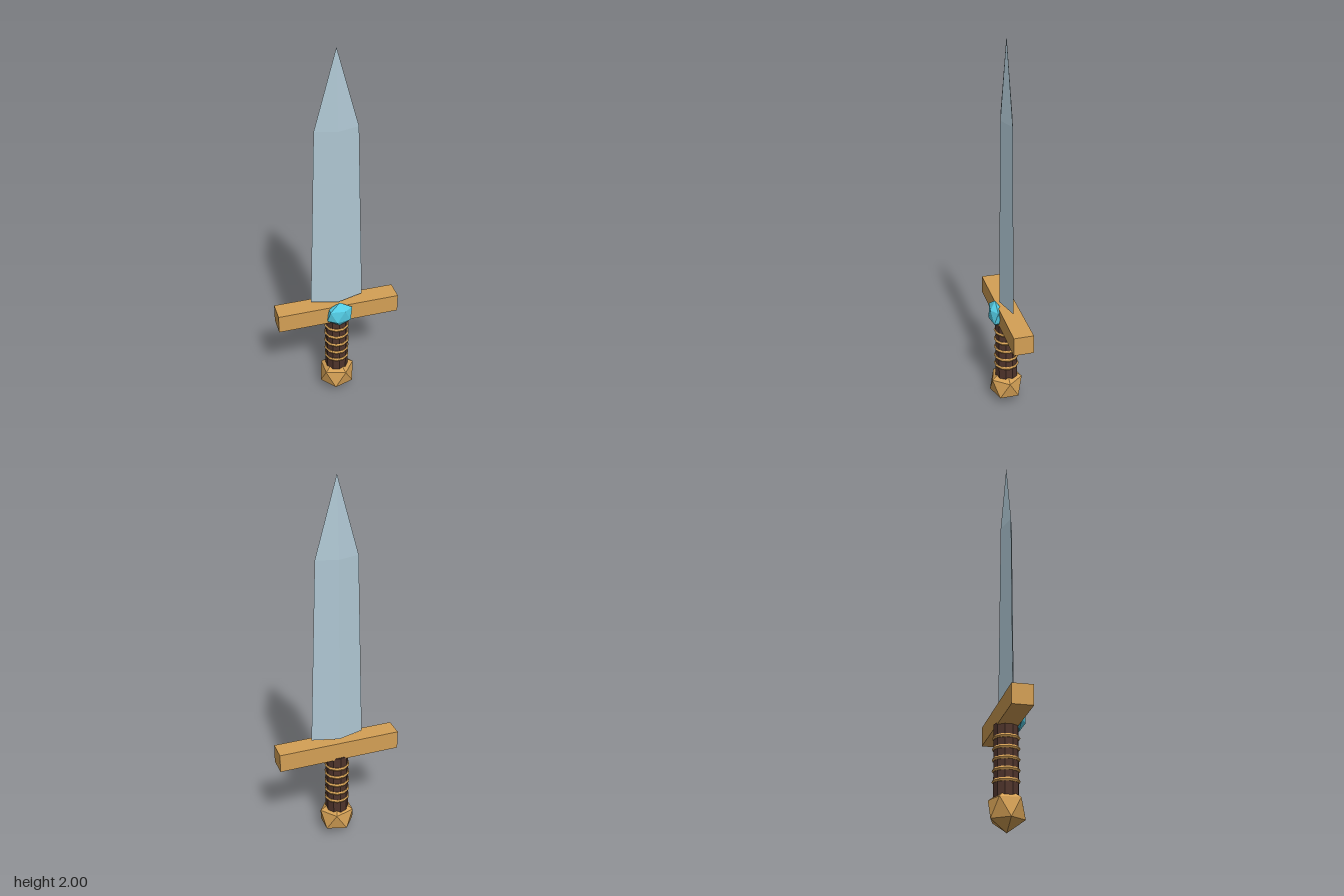
import * as THREE from 'three';

const material = (color) => new THREE.MeshStandardMaterial({ color, flatShading: true });

export function createModel() {
  const dagger = new THREE.Group();
  dagger.name = 'dagger';
  const gold = material(0xd4a055);
  const steel = material(0xb0c8d4);
  const wood = material(0x50352c);
  const crystal = material(0x55cfe8);
  const axisZ = -0.006;

  const add = (name, geometry, mat, y, z = axisZ) => {
    const mesh = new THREE.Mesh(geometry, mat);
    mesh.name = name;
    mesh.position.set(0, y, z);
    dagger.add(mesh);
    return mesh;
  };

  // Icosahedron standing on one of its vertices
  const facetedBall = (radius) =>
    new THREE.IcosahedronGeometry(radius, 0).rotateZ(-Math.atan(2 / (1 + Math.sqrt(5))));

  // Diamond-section blade, tapering to a point
  const profile = [[0, 0], [0.14, 0], [0.11, 0.985], [0, 1.38]]
    .map(([x, y]) => new THREE.Vector2(x, y));
  add('blade', new THREE.LatheGeometry(profile, 4).scale(1, 1, 0.275), steel, 0.62);

  // Crossguard
  add('crossguard', new THREE.BoxGeometry(0.654, 0.1, 0.103), gold, 0.55);

  // Grip with its binding rings
  add('grip', new THREE.CylinderGeometry(0.061, 0.061, 0.36, 10), wood, 0.33);
  for (let i = 0; i < 5; i++) {
    const ring = new THREE.TorusGeometry(0.058, 0.01, 6, 10).rotateX(Math.PI / 2);
    add('gripRing', ring, gold, 0.235 + i * 0.052);
  }

  // Pommel
  add('pommel', facetedBall(0.104).scale(1, 1, 0.93), gold, 0.104, -0.003);

  // Flattened gem on the front of the guard
  add('gem', facetedBall(0.076).scale(1, 1, 0.47), crystal, 0.555, 0.055);

  return dagger;
}
